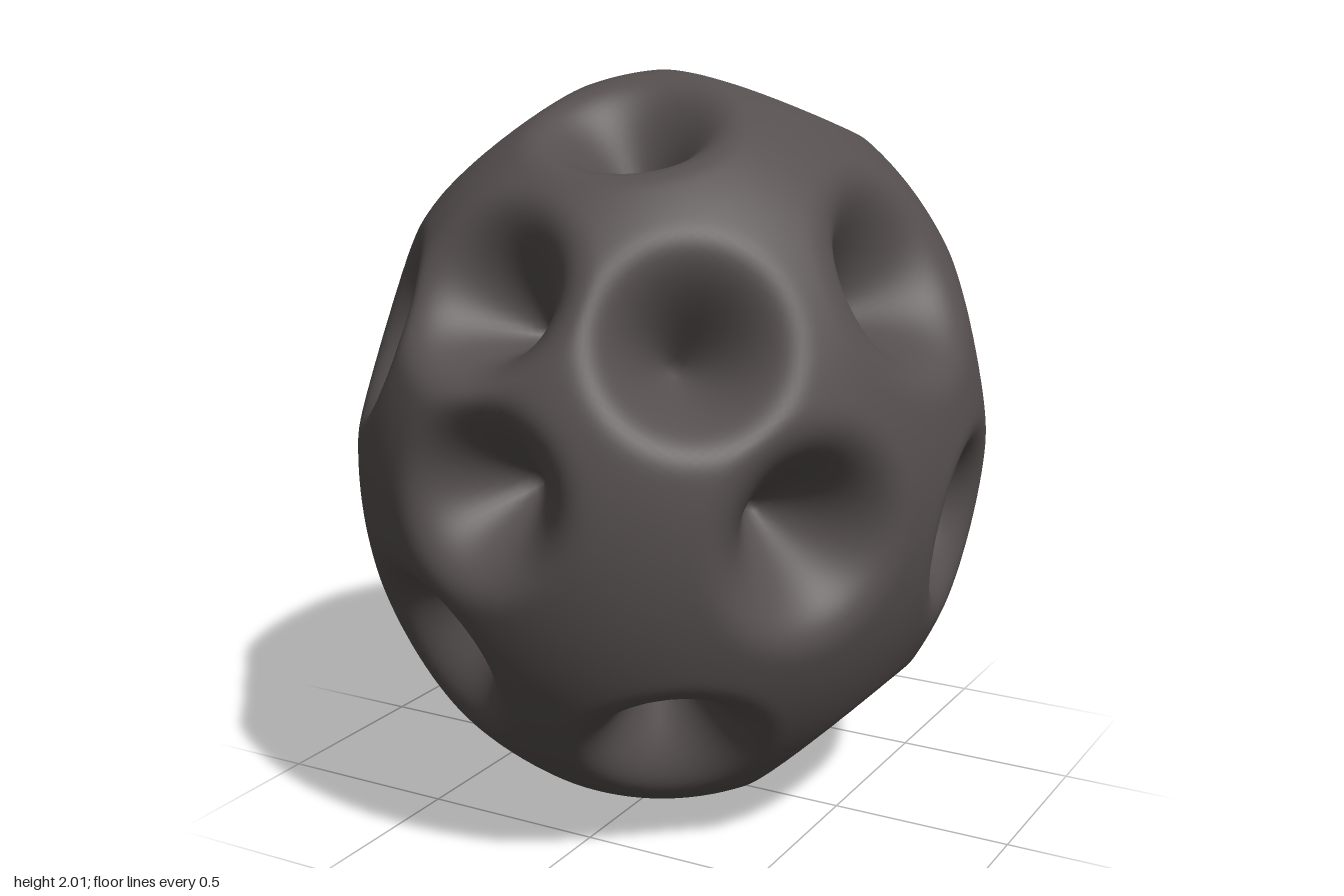
import * as THREE from 'three';
import { mergeVertices } from 'three/addons/utils/BufferGeometryUtils.js';

// Half-sizes of the egg-shaped body
const RADII = new THREE.Vector3(0.825, 1.005, 0.97);

// Pits: x, y, z direction from the body's centre, then pit radius
const PITS = [
  // front
  [-0.02, 0.05, 0.96, 0.3], [-0.1, 0.52, 0.8, 0.32], [-0.55, 0.36, 0.6, 0.32],
  [0.41, 0.4, 0.67, 0.32], [0.66, -0.06, 0.52, 0.34], [-0.29, -0.43, 0.82, 0.31],
  [-0.74, -0.3, 0.32, 0.3], [0.32, -0.66, 0.62, 0.31], [-0.3, -0.85, 0.4, 0.28],
  // top
  [-0.45, 0.77, 0.15, 0.31], [0.06, 0.89, 0.35, 0.32], [0.14, 0.95, -0.24, 0.33], [-0.37, 0.79, -0.33, 0.31],
  // left side
  [0.67, 0.5, 0.06, 0.36], [0.8, -0.18, -0.16, 0.31], [0.61, 0.23, -0.51, 0.32], [0.52, -0.82, 0.0, 0.31],
  // right side
  [-0.75, 0.31, 0.0, 0.33], [-0.69, -0.13, -0.48, 0.29], [-0.61, -0.59, -0.29, 0.28],
  // back
  [0.0, 0.58, -0.76, 0.38], [-0.55, 0.36, -0.6, 0.29], [-0.24, 0.08, -0.9, 0.31],
  [-0.04, -0.49, -0.82, 0.31], [0.5, -0.35, -0.69, 0.31],
  // underside
  [0.03, -0.95, -0.29, 0.27],
].map(([x, y, z, radius]) => {
  const center = new THREE.Vector3(x, y, z).divide(RADII).normalize().multiply(RADII);
  const normal = center.clone().divide(RADII).divide(RADII).normalize();
  return { center, normal, radius };
});

// Pit profile: pointed at the bottom, steep in the middle, with a long soft rim
const pitDepth = (t) => (t < 1 ? (1 - t) ** 2.6 * (1 + 1.6 * t) : 0);

function pittedGeometry() {
  let geometry = new THREE.IcosahedronGeometry(1, 56);
  geometry.deleteAttribute('normal');
  geometry.deleteAttribute('uv');
  geometry = mergeVertices(geometry, 1e-5);

  const position = geometry.attributes.position;
  const base = new THREE.Vector3();
  const moved = new THREE.Vector3();
  for (let i = 0; i < position.count; i++) {
    base.fromBufferAttribute(position, i).normalize().multiply(RADII);
    moved.copy(base);
    for (const { center, normal, radius } of PITS) {
      const depth = 0.97 * radius * pitDepth(base.distanceTo(center) / radius);
      moved.addScaledVector(normal, -depth);
    }
    position.setXYZ(i, moved.x, moved.y, moved.z);
  }
  geometry.computeBoundingBox();
  geometry.translate(0, -geometry.boundingBox.min.y, 0);
  geometry.computeVertexNormals();
  return geometry;
}

export function createModel() {
  const group = new THREE.Group();
  group.name = 'pittedRock';
  const body = new THREE.Mesh(
    pittedGeometry(),
    new THREE.MeshStandardMaterial({ color: 0x564f4f })
  );
  body.name = 'pittedBody';
  group.add(body);
  return group;
}
